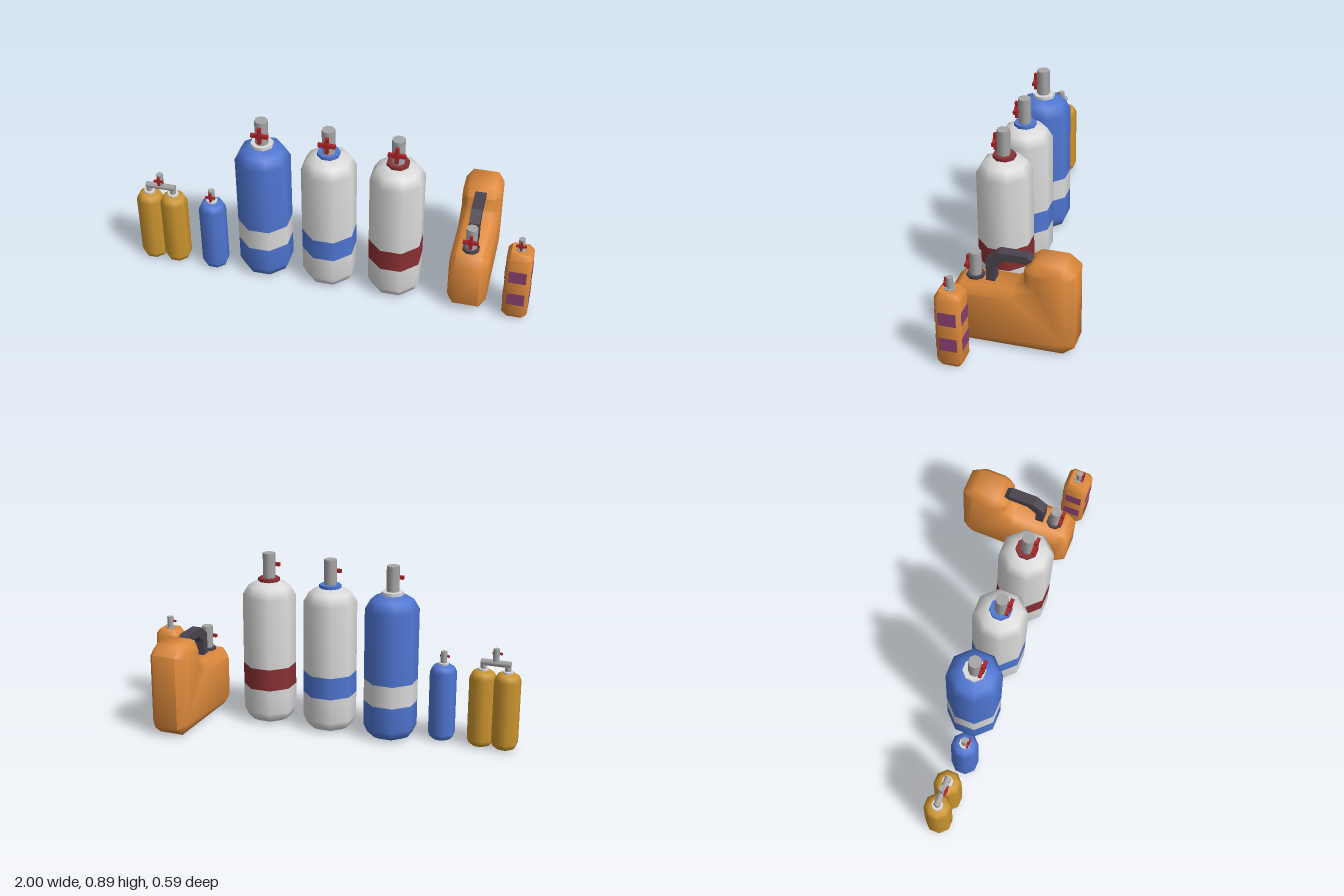
import * as THREE from 'three';
import { mergeVertices, toCreasedNormals } from 'three/addons/utils/BufferGeometryUtils.js';

const mat = (name, color) => Object.assign(new THREE.MeshStandardMaterial({ color }), { name });
const M = {
  white: mat('white paint', 0xdadada),
  blue: mat('blue paint', 0x4f76d2),
  darkRed: mat('dark red paint', 0x8a3034),
  red: mat('valve red', 0xa82226),
  metal: mat('grey metal', 0xa6a6a6),
  yellow: mat('yellow paint', 0xcb942f),
  orange: mat('orange paint', 0xde8a3c),
  purple: mat('purple label', 0x8a4070),
  dark: mat('dark plastic', 0x4a424c),
};

function add(parent, name, geometry, material, x = 0, y = 0, z = 0) {
  const mesh = new THREE.Mesh(geometry, material);
  mesh.name = name;
  mesh.position.set(x, y, z);
  parent.add(mesh);
  return mesh;
}

function group(parent, name, x = 0, y = 0, z = 0) {
  const g = new THREE.Group();
  g.name = name;
  g.position.set(x, y, z);
  parent.add(g);
  return g;
}

// Eight-sided turned shape with its flats facing the axes; radii are to the flats.
function octagonLathe(profile) {
  const k = 1 / Math.cos(Math.PI / 8);
  return new THREE.LatheGeometry(profile.map(([r, y]) => new THREE.Vector2(r * k, y)), 8, Math.PI / 8);
}

function octagonPrism(r, h) {
  const k = 1 / Math.cos(Math.PI / 8);
  const g = new THREE.CylinderGeometry(r * k, r * k, h, 8);
  return g.rotateY(Math.PI / 8);
}

// Shape given in (u, v), extruded to a centred depth with one bevel step
function bevelled(points, depth, thick, inset) {
  const shape = new THREE.Shape(points.map(([u, v]) => new THREE.Vector2(u, v)));
  const g = new THREE.ExtrudeGeometry(shape, {
    depth: depth - 2 * thick, bevelEnabled: thick > 0, bevelThickness: thick,
    bevelSize: inset, bevelOffset: -inset, bevelSegments: 1,
  });
  return g.translate(0, 0, thick - depth / 2);
}

function smooth(g, angle) {
  g.deleteAttribute('uv');
  g.deleteAttribute('normal');
  return toCreasedNormals(mergeVertices(g, 1e-4), angle);
}

// Upright stem with a cross-shaped hand wheel on its front
function valve(parent, x, y, z, r, h, wheelY, arm) {
  const v = group(parent, 'valve', x, y, z);
  add(v, 'valveStem', octagonPrism(r, h), M.metal, 0, h / 2, 0);
  const t = arm * 0.4;
  const wheel = group(v, 'handWheel', 0, wheelY, r + t / 2);
  add(wheel, 'wheelBarAcross', new THREE.BoxGeometry(arm * 2, t, t), M.red);
  add(wheel, 'wheelBarUpright', new THREE.BoxGeometry(t, arm * 2, t), M.red);
  const hub = octagonPrism(t * 0.95, t * 1.3);
  add(wheel, 'wheelHub', hub.rotateX(Math.PI / 2), M.red);
}

// Large gas bottle with a painted band
function largeBottle(parent, x, paint, trim) {
  const b = group(parent, 'largeBottle', x, 0, 0.168);
  const R = 0.126;
  add(b, 'bottleBase', octagonLathe([[0, 0], [0.075, 0], [0.108, 0.018], [R, 0.06], [R, 0.19]]), paint);
  add(b, 'bottleBand', octagonLathe([[R, 0.19], [R, 0.305]]), trim);
  add(b, 'bottleTop', octagonLathe([[R, 0.305], [R, 0.675], [0.1, 0.724], [0.055, 0.748], [0, 0.748]]), paint);
  add(b, 'collar', octagonPrism(0.052, 0.02), trim, 0, 0.754, 0);
  valve(b, 0, 0.762, 0.003, 0.03, 0.131, 0.064, 0.043);
}

function smallBody(parent, x, z, paint) {
  const R = 0.063;
  add(parent, 'smallBottleBody', octagonLathe([[0, 0], [0.038, 0], [0.054, 0.01], [R, 0.035],
    [R, 0.36], [0.052, 0.385], [0.033, 0.398], [0, 0.398]]), paint, x, 0, z);
  add(parent, 'smallCollar', octagonPrism(0.026, 0.012), M.white, x, 0.401, z);
}

// Pair of small bottles joined by a pipe
function twinBottles(parent) {
  const g = group(parent, 'twinBottles', -0.874, 0, 0.22);
  for (const s of [-1, 1]) {
    smallBody(g, s * 0.062, 0, M.yellow);
    add(g, 'pipeLeg', octagonPrism(0.014, 0.045), M.metal, s * 0.062, 0.425, 0);
  }
  const pipe = octagonPrism(0.015, 0.15);
  add(g, 'pipeBridge', pipe.rotateZ(Math.PI / 2), M.metal, 0, 0.44, 0);
  valve(g, 0, 0.45, 0, 0.015, 0.065, 0.034, 0.025);
}

// Square bottle with clipped corners and labels on every side
function squareBottle(parent) {
  const g = group(parent, 'squareBottle', 0.935, 0, 0.232);
  const h = 0.0625, f = 0.043;
  const outline = [[f, -h], [h, -f], [h, f], [f, h], [-f, h], [-h, f], [-h, -f], [-f, -h]];
  const body = bevelled(outline, 0.4, 0.028, 0.019).rotateX(-Math.PI / 2);
  add(g, 'squareBottleBody', smooth(body, 0.9), M.orange, 0, 0.2, 0);
  for (const y of [0.13, 0.269]) {
    for (let i = 0; i < 4; i++) {
      const plate = new THREE.BoxGeometry(f * 2, 0.069, 0.004).translate(0, 0, h);
      add(g, 'label', plate.rotateY(i * Math.PI / 2), M.purple, 0, y, 0);
    }
  }
  add(g, 'smallCollar', octagonPrism(0.024, 0.01), M.metal, 0, 0.401, 0);
  valve(g, 0, 0.4, 0, 0.015, 0.062, 0.032, 0.025);
}

// Fuel can: side outlines are (-z, y), turned so the depth runs along x
function fuelCan(parent) {
  const g = group(parent, 'fuelCan', 0.693, 0, 0);
  const outline = [[-0.245, 0], [0.24, 0], [0.296, 0.045], [0.296, 0.432], [0.24, 0.478], [0.11, 0.478],
    [0.058, 0.437], [0.058, 0.363], [0, 0.32], [-0.25, 0.32], [-0.292, 0.275], [-0.292, 0.045]];
  const body = bevelled(outline, 0.19, 0.032, 0.04).rotateY(Math.PI / 2);
  add(g, 'canBody', smooth(body, 1.1), M.orange);

  const grip = [[-0.137, 0.3], [-0.095, 0.3], [-0.095, 0.392], [-0.047, 0.438], [0.075, 0.438],
    [0.085, 0.455], [0.058, 0.478], [-0.08, 0.478], [-0.137, 0.432]];
  add(g, 'handle', bevelled(grip, 0.054, 0, 0).rotateY(Math.PI / 2), M.dark);

  add(g, 'spoutCollar', octagonPrism(0.04, 0.018), M.dark, 0, 0.325, 0.195);
  valve(g, 0, 0.325, 0.195, 0.027, 0.126, 0.063, 0.038);
}

export function createModel() {
  const model = new THREE.Group();
  model.name = 'gasBottlesAndFuelCan';

  twinBottles(model);

  const small = group(model, 'smallBottle', -0.607, 0, 0.225);
  smallBody(small, 0, 0, M.blue);
  valve(small, 0, 0.4, 0, 0.015, 0.066, 0.034, 0.025);

  largeBottle(model, -0.35, M.blue, M.white);
  largeBottle(model, -0.02, M.white, M.blue);
  largeBottle(model, 0.317, M.white, M.darkRed);

  fuelCan(model);
  squareBottle(model);
  return model;
}
